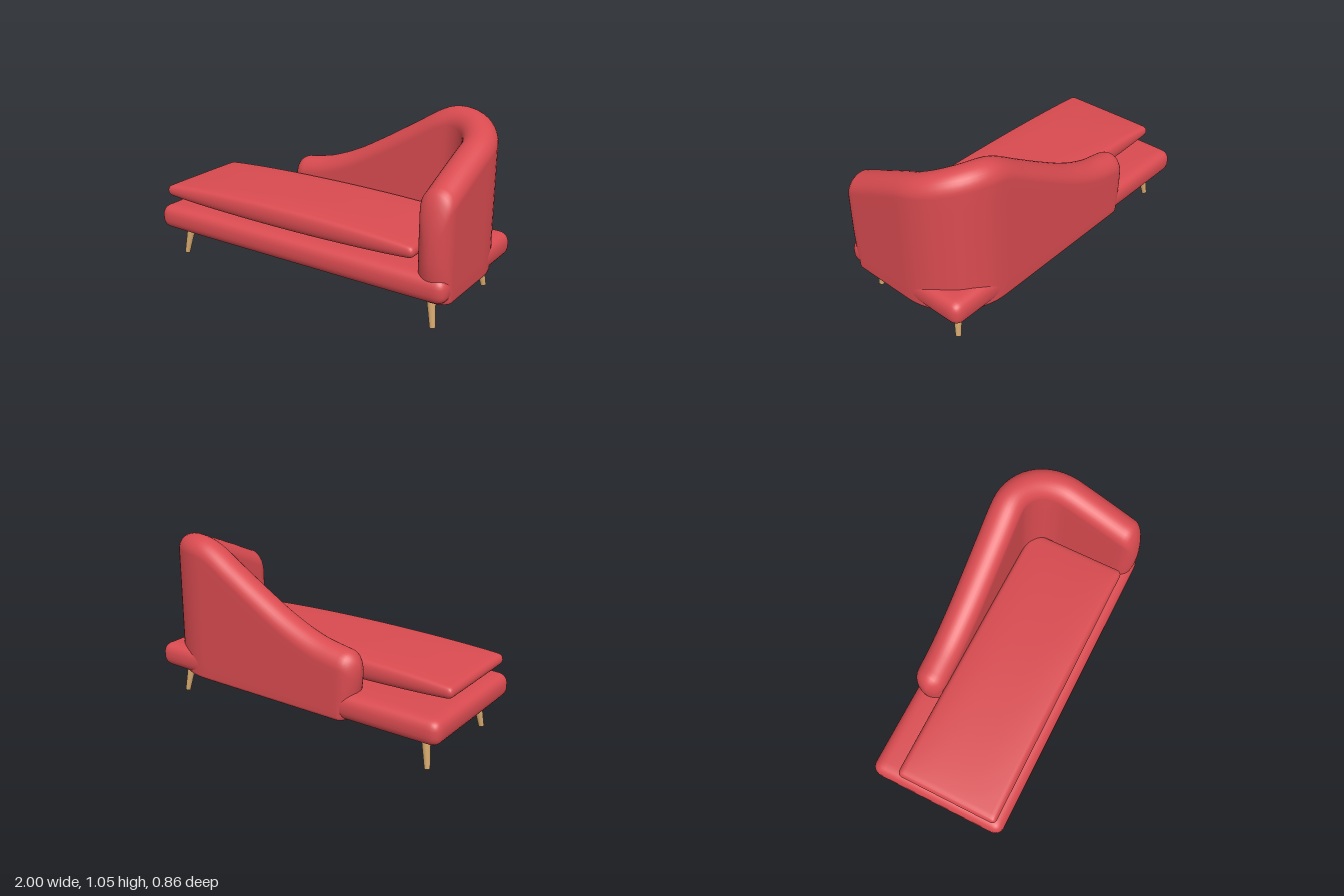
import * as THREE from 'three';
import { mergeVertices } from 'three/addons/utils/BufferGeometryUtils.js';

const fabric = new THREE.MeshStandardMaterial({ color: 0xd94b50 });
fabric.name = 'red fabric';
const wood = new THREE.MeshStandardMaterial({ color: 0xd2a56c });
wood.name = 'light wood';

function addMesh(parent, name, geometry, material) {
  const mesh = new THREE.Mesh(geometry, material);
  mesh.name = name;
  parent.add(mesh);
  return mesh;
}

// Merge shared corners so the whole surface shades smoothly
function smooth(geometry) {
  geometry.deleteAttribute('uv');
  geometry.deleteAttribute('normal');
  const merged = mergeVertices(geometry, 1e-5);
  merged.computeVertexNormals();
  return merged;
}

// Rounded slab whose thickness is multiplied by swell(u, v), u and v in -1..1
function pillow(w, h, d, r, swell) {
  const geometry = new THREE.BoxGeometry(2, 2, 2, 48, 10, 36);
  const pos = geometry.attributes.position;
  const half = new THREE.Vector3(w / 2, h / 2, d / 2);
  const inner = half.clone().subScalar(r);
  const p = new THREE.Vector3(), c = new THREE.Vector3();
  const ease = (t) => Math.sin(t * Math.PI / 2);
  for (let i = 0; i < pos.count; i++) {
    p.fromBufferAttribute(pos, i);
    p.set(ease(p.x), ease(p.y), ease(p.z)).multiply(half);
    c.copy(p).clamp(inner.clone().negate(), inner);
    p.sub(c).setLength(r).add(c);
    p.y *= swell(p.x / half.x, p.z / half.z);
    pos.setXYZ(i, p.x, p.y, p.z);
  }
  return smooth(geometry);
}

// Wrap-around back: a round-topped wall swept along an L-shaped path
function backrestGeometry() {
  const W = 0.097, bottom = 0.178, R = 0.28, cx = 0.622, cz = -0.057;
  const startX = -0.37, endZ = 0.333;
  const run = cx - startX, bend = R * Math.PI / 2, total = run + bend + endZ - cz;
  const heights = new THREE.CubicInterpolant(
    new Float32Array([0, 0.17, 0.37, 0.57, 0.77, 0.96, 1.04, 1.2, 1.43, 1.63, total]),
    new Float32Array([0.575, 0.61, 0.69, 0.8, 0.92, 1.032, 1.052, 1.04, 0.967, 0.885, 0.8]), 1);

  // Point and direction on the path at length s
  const at = (s) => {
    if (s < run) return [startX + s, cz - R, 1, 0];
    if (s > run + bend) return [cx + R, cz + s - run - bend, 0, 1];
    const a = (s - run) / R;
    return [cx + R * Math.sin(a), cz - R * Math.cos(a), Math.cos(a), Math.sin(a)];
  };

  // Stations: rounded start, body, rounded end
  const stations = [], capSteps = 8, bodySteps = 56;
  const addCap = (s, sign, drop, i) => {
    const a = i / capSteps * Math.PI / 2;
    stations.push({ s, e: sign * W * Math.sin(a), w: W * Math.cos(a), drop: drop * (1 - Math.cos(a)) });
  };
  for (let i = capSteps; i > 0; i--) addCap(0, -1, 0.11, i);
  for (let i = 0; i <= bodySteps; i++) stations.push({ s: total * i / bodySteps, e: 0, w: W, drop: 0 });
  for (let i = 1; i <= capSteps; i++) addCap(total, 1, 0.3, i);

  const positions = [], index = [];
  let ring = 0;
  for (const { s, e, w, drop } of stations) {
    const [x, z, tx, tz] = at(s);
    const top = heights.evaluate(s)[0] - drop;
    const side = [[0.85, bottom], [0.96, bottom + 0.007], [1, bottom + 0.022]];
    for (let i = 1; i <= 8; i++) side.push([1, bottom + 0.022 + (top - W - bottom - 0.022) * i / 8]);
    for (let i = 1; i < 8; i++) {
      const a = i / 8 * Math.PI / 2;
      side.push([Math.cos(a), top - W + W * Math.sin(a)]);
    }
    const section = [...side, [0, top], ...side.map(([a, y]) => [-a, y]).reverse()];
    ring = section.length;
    for (const [a, y] of section) {
      // The ends tuck in towards the floor
      const tuck = 1 - 0.55 * Math.max(0, (0.46 - y) / 0.28) ** 2;
      const n = a * w, f = e * tuck;
      positions.push(x + tz * n + tx * f, y, z - tx * n + tz * f);
    }
  }
  for (let i = 0; i < stations.length - 1; i++) {
    for (let j = 0; j < ring; j++) {
      const k = (j + 1) % ring;
      const a = i * ring + j, b = i * ring + k, c = a + ring, d = b + ring;
      index.push(a, b, c, b, d, c);
    }
  }
  const geometry = new THREE.BufferGeometry();
  geometry.setAttribute('position', new THREE.Float32BufferAttribute(positions, 3));
  geometry.setIndex(index);
  return smooth(geometry);
}

export function createModel() {
  const model = new THREE.Group();
  model.name = 'chaise';

  // Upholstered base
  const base = pillow(1.996, 0.146, 0.86, 0.06,
    (u, v) => 1 + 0.15 * (1 - u ** 6) * (1 - v ** 6));
  addMesh(model, 'base', base, fabric).position.set(-0.002, 0.261, 0);

  // Seat cushion, thin at the ends and plump in the middle
  const cushion = pillow(1.76, 0.06, 0.635, 0.03,
    (u, v) => 1 + 1.55 * Math.max(0, 1 - u * u) ** 0.7 * (1 - 0.4 * v ** 4));
  addMesh(model, 'seatCushion', cushion, fabric).position.set(-0.093, 0.425, 0.068);

  addMesh(model, 'backrest', backrestGeometry(), fabric);

  // Splayed tapered legs
  const up = new THREE.Vector3(0, 1, 0);
  for (const sx of [-1, 1]) {
    for (const sz of [-1, 1]) {
      const foot = new THREE.Vector3(sx * 0.887, 0.004, sz * 0.319);
      const head = new THREE.Vector3(sx * 0.854, 0.21, sz * 0.292);
      const axis = head.clone().sub(foot);
      const leg = addMesh(model, (sz > 0 ? 'front' : 'back') + (sx > 0 ? 'Left' : 'Right') + 'Leg',
        new THREE.CylinderGeometry(0.028, 0.016, axis.length(), 24), wood);
      leg.position.copy(foot).add(head).multiplyScalar(0.5);
      leg.quaternion.setFromUnitVectors(up, axis.normalize());
    }
  }
  return model;
}
